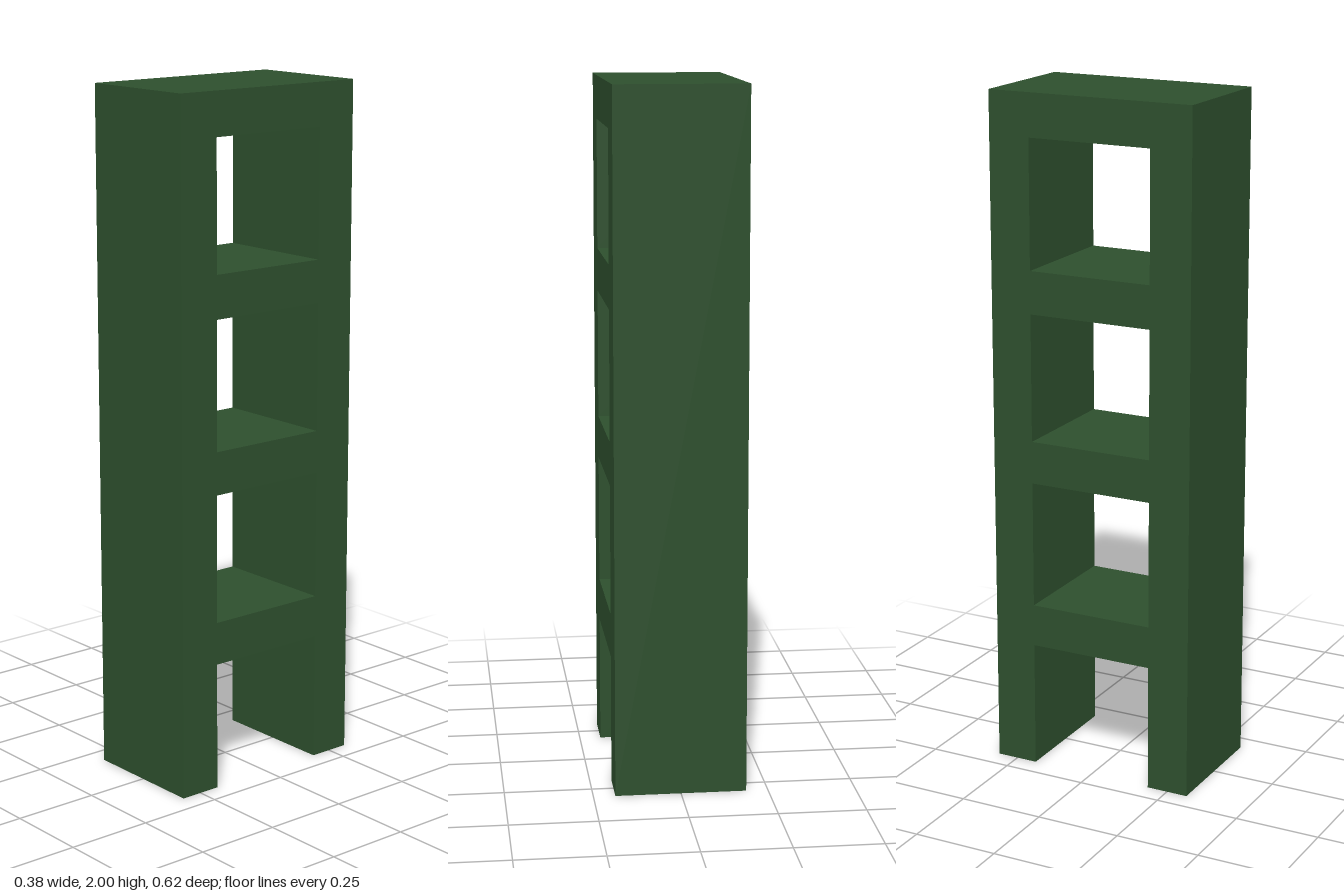
import * as THREE from 'three';

const HEIGHT = 2, WIDTH = 0.375, HALF = 0.3125, INNER = 0.1875;
const BOARD = 0.125, STEP = 0.5;

export function createModel() {
  const group = new THREE.Group();
  group.name = 'shelfTower';

  const darkGreen = new THREE.MeshStandardMaterial({ color: 0x2d4f2d });
  darkGreen.name = 'darkGreen';

  // Side profile: two uprights joined by boards, open at the floor
  const profile = new THREE.Shape([
    [-HALF, 0], [-INNER, 0], [-INNER, STEP - BOARD], [INNER, STEP - BOARD],
    [INNER, 0], [HALF, 0], [HALF, HEIGHT], [-HALF, HEIGHT],
  ].map(([x, y]) => new THREE.Vector2(x, y)));

  // Square openings above each lower board
  for (let y = STEP; y < HEIGHT; y += STEP) {
    const top = y + STEP - BOARD;
    profile.holes.push(new THREE.Path([
      new THREE.Vector2(-INNER, y), new THREE.Vector2(-INNER, top),
      new THREE.Vector2(INNER, top), new THREE.Vector2(INNER, y),
    ]));
  }

  // Extrude across the width, then turn the openings to face left and right
  const geometry = new THREE.ExtrudeGeometry(profile, { depth: WIDTH, bevelEnabled: false });
  geometry.translate(0, 0, -WIDTH / 2).rotateY(Math.PI / 2);

  const frame = new THREE.Mesh(geometry, darkGreen);
  frame.name = 'shelfFrame';
  group.add(frame);
  return group;
}
